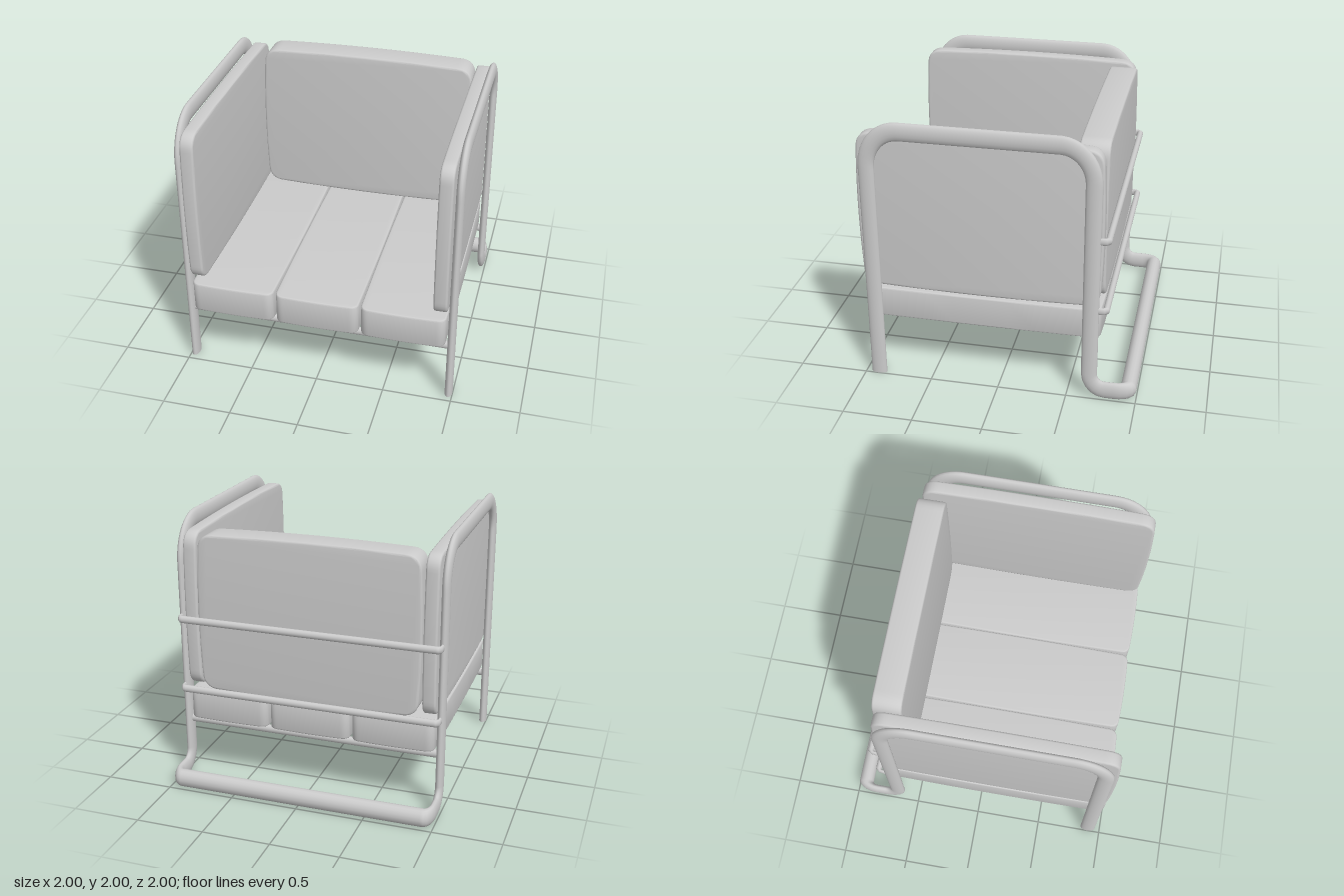
import * as THREE from 'three';
import { toCreasedNormals } from 'three/addons/utils/BufferGeometryUtils.js';

const V = (x, y, z) => new THREE.Vector3(x, y, z);
const material = new THREE.MeshStandardMaterial({ color: 0xcccccc });

function addMesh(group, name, geometry) {
  const mesh = new THREE.Mesh(geometry, material);
  mesh.name = name;
  group.add(mesh);
  return mesh;
}

// Path of straight runs joined by round corners; each point is [position, trim length]
function roundedPath(points) {
  const path = new THREE.CurvePath();
  let from = points[0][0];
  for (let i = 1; i < points.length - 1; i++) {
    const [p, trim] = points[i];
    const a = p.clone().add(points[i - 1][0].clone().sub(p).setLength(trim));
    const b = p.clone().add(points[i + 1][0].clone().sub(p).setLength(trim));
    path.add(new THREE.LineCurve3(from, a));
    path.add(new THREE.CubicBezierCurve3(a, a.clone().lerp(p, 0.55), b.clone().lerp(p, 0.55), b));
    from = b;
  }
  path.add(new THREE.LineCurve3(from, points[points.length - 1][0]));
  return path;
}

// Tube with an oval section: swept as a round tube, then squashed per axis
function ovalTube(points, radii, segments) {
  const scaled = points.map(([p, t]) => [p.clone().divide(radii), t]);
  return new THREE.TubeGeometry(roundedPath(scaled), segments, 1, 16)
    .scale(radii.x, radii.y, radii.z);
}

// Padded slab, w by h with softly bowed outline, d thick along z
function cushion(w, h, d, r, bow, bevel) {
  const a = w / 2 - bevel, b = h / 2 - bevel;
  const s = new THREE.Shape();
  s.moveTo(-a + r, -b + bow);
  s.quadraticCurveTo(0, -b - bow, a - r, -b + bow);
  s.quadraticCurveTo(a - bow, -b + bow, a - bow, -b + r);
  s.quadraticCurveTo(a + bow, 0, a - bow, b - r);
  s.quadraticCurveTo(a - bow, b - bow, a - r, b - bow);
  s.quadraticCurveTo(0, b + bow, -a + r, b - bow);
  s.quadraticCurveTo(-a + bow, b - bow, -a + bow, b - r);
  s.quadraticCurveTo(-a - bow, 0, -a + bow, -b + r);
  s.quadraticCurveTo(-a + bow, -b + bow, -a + r, -b + bow);
  const g = new THREE.ExtrudeGeometry(s, {
    depth: d - 2 * bevel, bevelThickness: bevel, bevelSize: bevel, bevelSegments: 3, curveSegments: 8,
  });
  g.translate(0, 0, bevel - d / 2);
  return toCreasedNormals(g, 0.6);
}

export function createModel() {
  const model = new THREE.Group();
  model.name = 'armchair';

  // One continuous bent tube: legs, arm rails and rear floor bar
  const X = 0.971, TOP = 1.933, FRONT = 0.903, BACK = -0.66, FLOOR = 0.068, REAR = -0.942;
  const radii = V(0.029, 0.067, 0.058);
  const half = [
    [V(X, 0, FRONT), 0],
    [V(X, TOP, FRONT), 4.0],
    [V(X, TOP, BACK), 4.0],
    [V(X, FLOOR, BACK), 1.9],
    [V(X, FLOOR, REAR), 1.7],
  ];
  const mirrored = half.map(([p, t]) => [V(-p.x, p.y, p.z), t]).reverse();
  addMesh(model, 'tubeFrame', ovalTube([...half, ...mirrored], radii, 400));

  // Foot caps under the open tube ends
  for (const side of [-1, 1]) {
    const cap = addMesh(model, 'footCap', new THREE.CircleGeometry(1, 16)
      .rotateX(Math.PI / 2).scale(radii.x, 1, radii.z));
    cap.position.set(side * X, 0, FRONT);
  }

  // Back rods, their ends hooked forward onto the legs
  for (const y of [1.257, 0.715]) {
    addMesh(model, 'backRod', ovalTube([
      [V(X, y, -0.69), 0], [V(X, y, -0.766), 1.5],
      [V(-X, y, -0.766), 1.5], [V(-X, y, -0.69), 0],
    ], V(0.013, 0.027, 0.023), 120));
  }

  // Straight rods carrying the seat
  for (const z of [FRONT, BACK]) {
    const rod = addMesh(model, 'seatRod', new THREE.CylinderGeometry(1, 1, 2 * X, 16)
      .rotateZ(Math.PI / 2).scale(1, 0.031, 0.026));
    rod.position.set(0, 0.433, z);
  }

  // Three seat cushions side by side
  for (const i of [-1, 0, 1]) {
    const seat = addMesh(model, 'seatCushion',
      cushion(0.622, 1.73, 0.23, 0.06, 0.006, 0.012).rotateX(-Math.PI / 2));
    seat.position.set(i * 0.627, 0.58, 0.133);
  }

  // Arm cushions
  for (const side of [-1, 1]) {
    const arm = addMesh(model, 'armCushion',
      cushion(1.73, 1.2, 0.098, 0.12, 0.013, 0.016).rotateY(Math.PI / 2));
    arm.position.set(side * 0.886, 1.31, 0.133);
  }

  // Back cushion
  const back = addMesh(model, 'backCushion', cushion(1.66, 1.2, 0.21, 0.12, 0.013, 0.016));
  back.position.set(0, 1.31, -0.632);

  return model;
}
